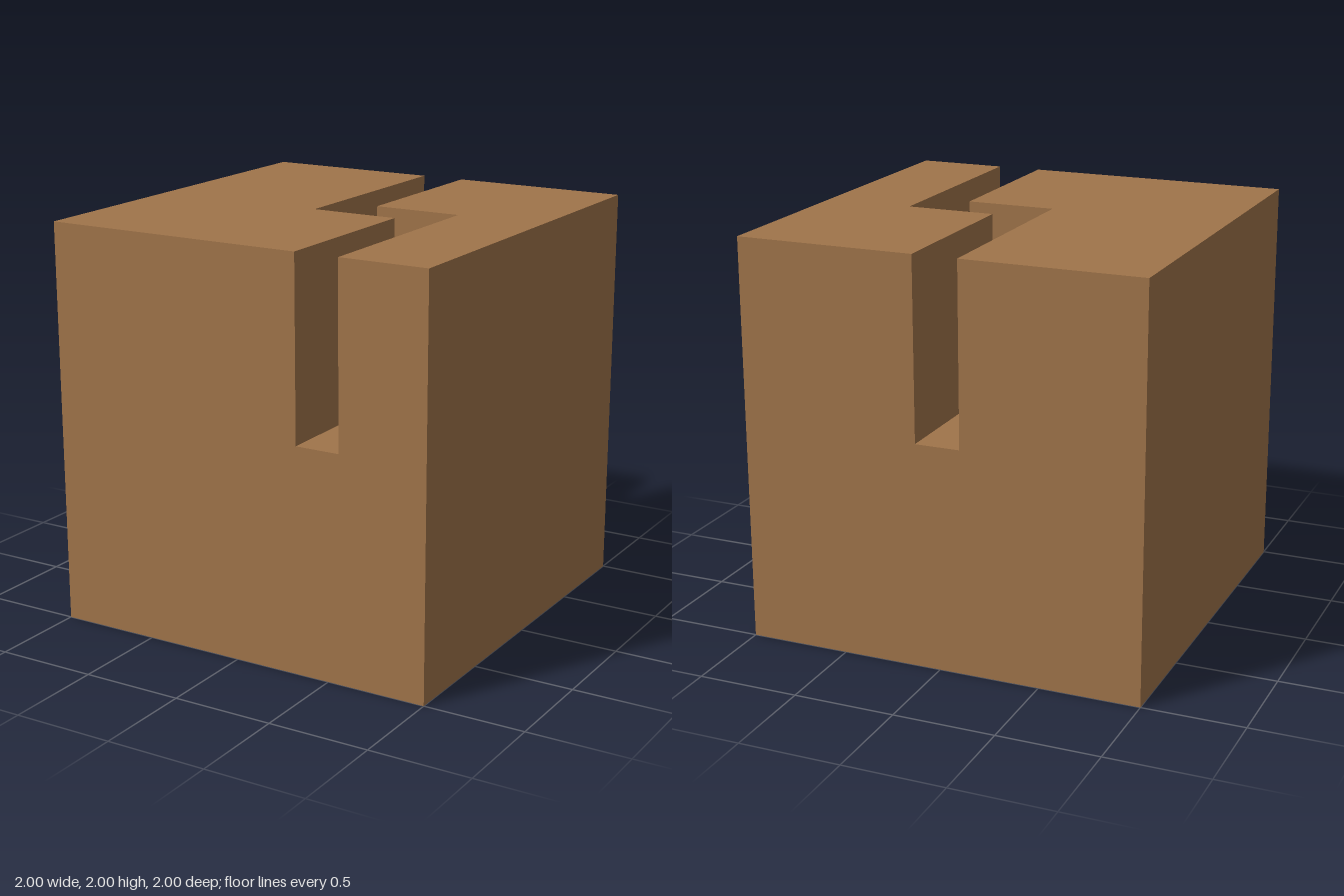
import * as THREE from 'three';
import { mergeGeometries } from 'three/addons/utils/BufferGeometryUtils.js';

const HEIGHT = 2, FLOOR = 1.111;

// Plan edges of the stepped channel as [x, z], running back to front
const edgeA = [[-0.111, -1], [-0.111, 0.111], [0.333, 0.111], [0.333, 1]];
const edgeB = [[0.111, -1], [0.111, -0.111], [0.556, -0.111], [0.556, 1]];

const shapeOf = (points) =>
  new THREE.ShapeGeometry(new THREE.Shape(points.map(([x, y]) => new THREE.Vector2(x, y))));

// Horizontal face from a plan outline, facing up
const level = (outline, y) =>
  shapeOf(outline.map(([x, z]) => [x, -z])).rotateX(-Math.PI / 2).translate(0, y, 0);

// End face of the block with the channel mouth cut from its top edge
const endFace = (x0, x1) => shapeOf([
  [-1, 0], [1, 0], [1, HEIGHT], [x1, HEIGHT], [x1, FLOOR], [x0, FLOOR], [x0, HEIGHT], [-1, HEIGHT],
]);

// Upright channel walls along a plan path, facing the channel
const walls = (path) => path.slice(1).map(([bx, bz], i) => {
  const [ax, az] = path[i];
  return new THREE.PlaneGeometry(Math.hypot(bx - ax, bz - az), HEIGHT - FLOOR)
    .rotateY(Math.atan2(az - bz, bx - ax))
    .translate((ax + bx) / 2, (HEIGHT + FLOOR) / 2, (az + bz) / 2);
});

export function createModel() {
  const group = new THREE.Group();
  group.name = 'groovedBlock';
  const material = new THREE.MeshStandardMaterial({ color: 0xa0744a });
  const add = (name, parts) => {
    const mesh = new THREE.Mesh(mergeGeometries(parts), material);
    mesh.name = name;
    group.add(mesh);
  };

  // Outer faces: front, back, two sides and underside
  add('blockSides', [
    endFace(0.333, 0.556).translate(0, 0, 1),
    endFace(-0.111, 0.111).rotateY(Math.PI).translate(0, 0, -1),
    ...[-1, 1].map((s) =>
      new THREE.PlaneGeometry(2, HEIGHT).rotateY(s * Math.PI / 2).translate(s, HEIGHT / 2, 0)),
    new THREE.PlaneGeometry(2, 2).rotateX(Math.PI / 2),
  ]);

  // Top faces on either side of the channel
  add('blockTop', [
    level([...edgeA, [-1, 1], [-1, -1]], HEIGHT),
    level([...edgeB, [1, 1], [1, -1]], HEIGHT),
  ]);

  // Stepped channel running from front to back
  add('channelFloor', [level([...edgeA, ...[...edgeB].reverse()], FLOOR)]);
  add('channelWalls', [...walls([...edgeA].reverse()), ...walls(edgeB)]);

  return group;
}
